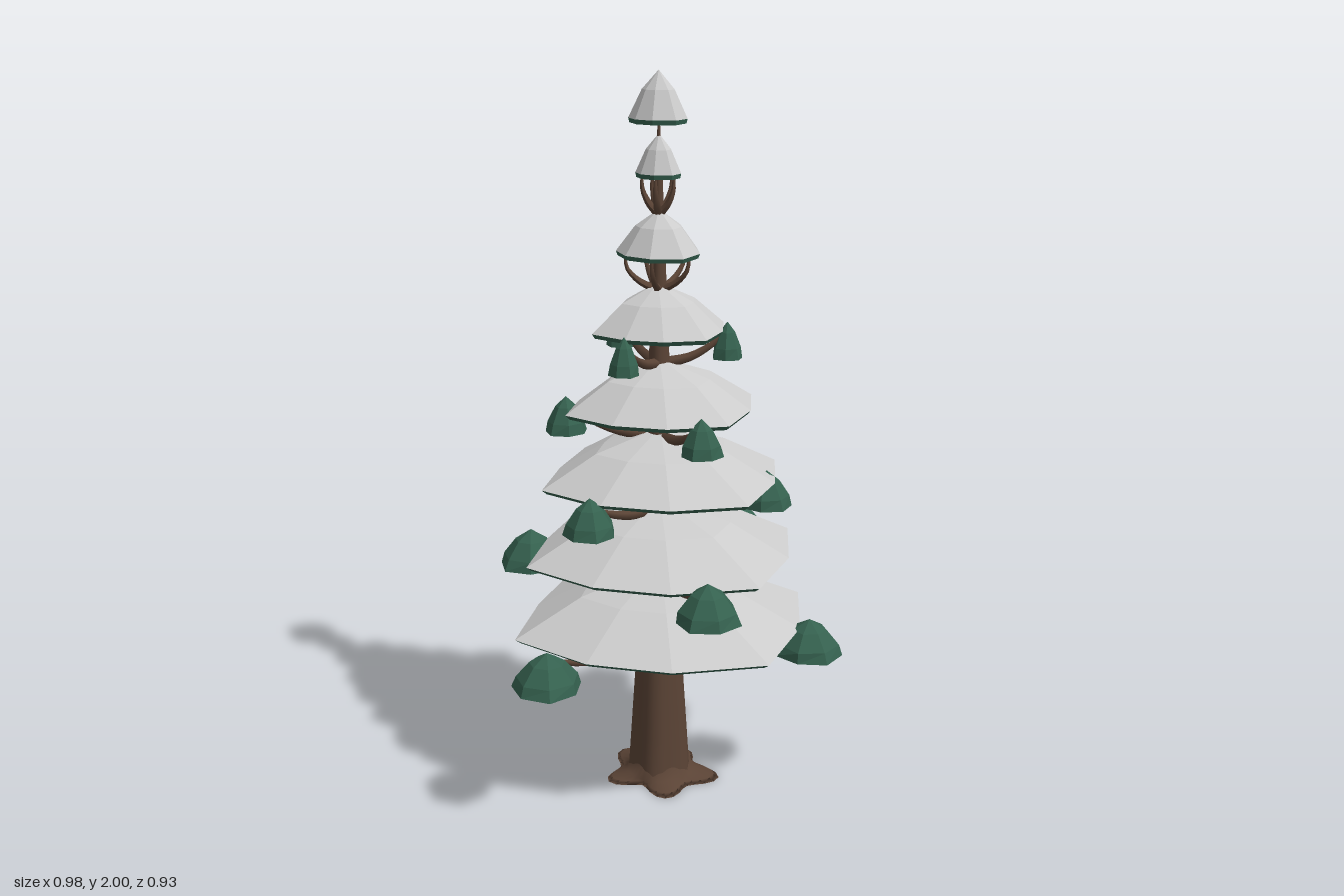
import * as THREE from 'three';

const AXIS = -0.03; // x of the trunk line

const snow = new THREE.MeshStandardMaterial({ color: 0xcccccc, flatShading: true });
const needles = new THREE.MeshStandardMaterial({ color: 0x35614f, flatShading: true });
const bark = new THREE.MeshStandardMaterial({ color: 0x5a4335 });

// Skin a surface over rings listed bottom to top; each ring is { r, y } and
// shape(i, ring) scales the radius of corner i.
function loft(rings, n, shape = () => 1) {
  const pos = [], index = [];
  rings.forEach((ring) => {
    for (let i = 0; i < n; i++) {
      const a = (i / n) * Math.PI * 2, r = ring.r * shape(i, ring);
      pos.push(r * Math.cos(a), ring.y, r * Math.sin(a));
    }
  });
  for (let k = 0; k < rings.length - 1; k++) {
    for (let i = 0; i < n; i++) {
      const a = k * n + i, b = k * n + ((i + 1) % n), c = a + n, d = b + n;
      if (rings[k].r > 0) index.push(a, c, b);
      if (rings[k + 1].r > 0) index.push(b, c, d);
      else if (rings[k].r === 0) continue;
    }
    // a pointed lower end needs only the upper triangles, a pointed top only the lower ones
  }
  const g = new THREE.BufferGeometry();
  g.setAttribute('position', new THREE.Float32BufferAttribute(pos, 3));
  g.setIndex(index);
  g.computeVertexNormals();
  return g;
}

function add(parent, name, geometry, material, x = 0, y = 0, z = 0) {
  const mesh = new THREE.Mesh(geometry, material);
  mesh.name = name;
  mesh.position.set(x, y, z);
  parent.add(mesh);
  return mesh;
}

// Tapered curved branch
function branchGeometry(points, r0, r1) {
  const curve = new THREE.CatmullRomCurve3(points);
  const seg = 8, sides = 6;
  const g = new THREE.TubeGeometry(curve, seg, 1, sides, false);
  const p = g.attributes.position, v = new THREE.Vector3();
  for (let i = 0; i < p.count; i++) {
    const t = Math.floor(i / (sides + 1)) / seg;
    const c = curve.getPointAt(t);
    v.fromBufferAttribute(p, i).sub(c).multiplyScalar(r0 + (r1 - r0) * t).add(c);
    p.setXYZ(i, v.x, v.y, v.z);
  }
  g.computeVertexNormals();
  return g;
}

// Trunk half-width at height y
const trunkRadius = (y) => (y < 0.5 ? 0.088 - 0.064 * y : 0.056 - 0.038 * (y - 0.5));

// Uneven rim of the canopy tiers
const RIM = [0.4, 0.44, 0.38, 0.376, 0.43, 0.36, 0.42, 0.435, 0.38, 0.44];

// Snowy tier: domed snow over a dark needle underside
function tier(i, x, rimY, topY, scale, sides) {
  const group = new THREE.Group();
  group.name = 'canopyTier' + (i + 1);
  group.position.set(x, 0, 0);
  const h = topY - rimY, edge = 0.012;
  const shape = (k) => RIM[k] * scale;
  add(group, 'snowCap', loft([
    { r: 1, y: rimY },
    { r: 0.55, y: rimY + h * 0.6 },
    { r: 0, y: topY },
  ], sides, shape), snow);
  add(group, 'needleUnderside', loft([
    { r: 0, y: rimY + h * 0.2 },
    { r: 0.96, y: rimY - edge },
    { r: 1, y: rimY },
  ], sides, shape), needles);
  return group;
}

// Branch with a needle clump on its tip
function clumpBranch(parent, x, z, y, r, h) {
  const dir = new THREE.Vector3(x - AXIS, 0, z);
  const len = dir.length();
  dir.normalize();
  const at = (d, py) => new THREE.Vector3(AXIS + dir.x * d, py, dir.z * d);
  const thick = 0.012 + r * 0.1;
  add(parent, 'branch', branchGeometry([
    at(trunkRadius(y) * 0.5, y - 0.01),
    at(len * 0.45, y + 0.005),
    at(len * 0.75, y + 0.035),
    at(len * 0.97, y + h * 0.7),
  ], thick, 0.006), bark);
  const clump = add(parent, 'needleClump', loft([
    { r: 0, y: h * 0.12 },
    { r: 1, y: 0 },
    { r: 0.88, y: h * 0.3 },
    { r: 0.5, y: h * 0.72 },
    { r: 0, y: h },
  ], 7, (k, ring) => r * (ring.r === 1 ? 0.98 + 0.06 * Math.sin(k * 2.4) : 1)), needles, x, y, z);
  clump.rotation.y = -Math.atan2(dir.z, dir.x);
}

export function createModel() {
  const tree = new THREE.Group();
  tree.name = 'snowyTree';

  // Trunk with gentle ridges
  const trunkRings = [0, 0.02, 0.15, 0.3, 0.5, 0.9, 1.3, 1.6, 1.76, 1.87].map((y) => ({
    y, r: y > 1.8 ? 0.003 : y > 1.7 ? 0.009 : trunkRadius(y),
  }));
  add(tree, 'trunk', loft(trunkRings, 20, (i, ring) =>
    1 + (ring.y < 0.5 ? 0.06 : 0.02) * Math.sin((i / 20) * Math.PI * 10)), bark, AXIS);

  // Flat lobed roots spreading over the ground
  const lobes = (i, ring) => {
    const a = (i / 40) * Math.PI * 2;
    return ring.r > 0.1 ? 1 + 0.2 * Math.cos(5 * a) + 0.08 * Math.sin(2 * a + 1) : 1;
  };
  add(tree, 'roots', loft([
    { r: 0, y: 0 },
    { r: 0.137, y: 0 },
    { r: 0.125, y: 0.009 },
    { r: 0.097, y: 0.018 },
    { r: 0.08, y: 0.05 },
  ], 40, lobes), bark, AXIS);

  // Canopy tiers: centre x, rim height, top height, scale, sides
  [
    [-0.03, 0.492, 0.65, 1, 10],
    [-0.03, 0.698, 0.85, 0.91, 10],
    [-0.028, 0.912, 1.05, 0.8, 10],
    [-0.03, 1.112, 1.245, 0.63, 10],
    [-0.033, 1.325, 1.45, 0.44, 10],
    [-0.03, 1.53, 1.645, 0.275, 8],
    [-0.03, 1.738, 1.84, 0.148, 8],
    [-0.03, 1.878, 2.0, 0.19, 8],
  ].forEach((t, i) => tree.add(tier(i, ...t)));

  // Three clump branches per level: height, clump radius, clump height, [x, z] tips
  [
    [0.42, 0.096, 0.1, [[0.395, -0.005], [-0.25, 0.37], [-0.255, -0.38]]],
    [0.625, 0.09, 0.105, [[-0.4, 0.02], [0.17, 0.31], [0.13, -0.335]]],
    [0.83, 0.072, 0.1, [[-0.15, 0.285], [0.26, -0.05], [-0.235, -0.24]]],
    [1.035, 0.058, 0.1, [[0.125, 0.185], [-0.28, 0.05], [0.04, -0.25]]],
    [1.24, 0.042, 0.1, [[-0.08, 0.185], [-0.17, -0.135], [0.145, -0.055]]],
  ].forEach(([y, r, h, tips], i) => {
    const level = new THREE.Group();
    level.name = 'branchLevel' + (i + 1);
    tips.forEach(([x, z]) => clumpBranch(level, x, z, y, r, h));
    tree.add(level);
  });

  // Bare upturned twigs near the top: height, reach, count
  [[1.43, 0.09, 5], [1.635, 0.045, 5]].forEach(([y, reach, n], i) => {
    const level = new THREE.Group();
    level.name = 'twigLevel' + (i + 1);
    for (let k = 0; k < n; k++) {
      const a = (k / n) * Math.PI * 2 + 0.3;
      const at = (d, py) => new THREE.Vector3(AXIS + d * Math.cos(a), py, d * Math.sin(a));
      add(level, 'twig', branchGeometry([
        at(0.005, y), at(reach * 0.6, y + 0.025), at(reach * 0.95, y + 0.06), at(reach, y + 0.09),
      ], 0.012, 0.004), bark);
    }
    tree.add(level);
  });

  return tree;
}
